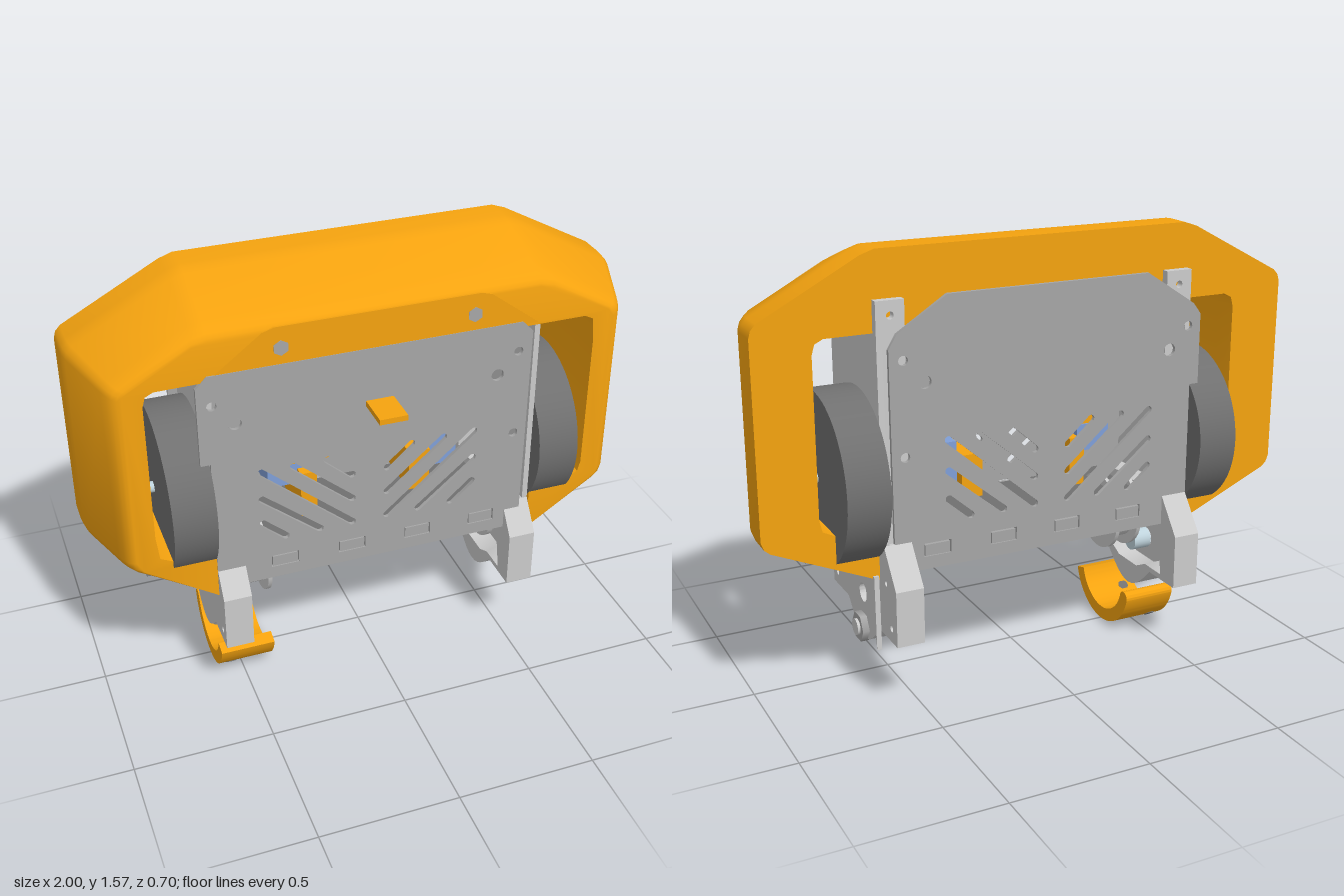
import * as THREE from 'three';
import { toCreasedNormals } from 'three/addons/utils/BufferGeometryUtils.js';

const mat = (color) => new THREE.MeshStandardMaterial({ color, side: THREE.DoubleSide });
const ORANGE = mat(0xf5a30f), LIGHT = mat(0xcccccc), PLATE = mat(0xa6a6a6);
const DARK = mat(0x707070), STEEL = mat(0xbfd3dc), BLUE = mat(0x7f9fd8);

export function createModel() {
  const model = new THREE.Group();
  const add = (name, geo, material, x = 0, y = 0, z = 0) => {
    const mesh = new THREE.Mesh(geo, material);
    mesh.name = name;
    mesh.position.set(x, y, z);
    model.add(mesh);
    return mesh;
  };
  const box = (name, m, x0, x1, y0, y1, z0, z1) =>
    add(name, new THREE.BoxGeometry(x1 - x0, y1 - y0, z1 - z0), m, (x0 + x1) / 2, (y0 + y1) / 2, (z0 + z1) / 2);
  // cylinder lying along x
  const rod = (name, m, x0, x1, y, z, r, sides = 48) => {
    const g = new THREE.CylinderGeometry(r, r, Math.abs(x1 - x0), sides).rotateZ(Math.PI / 2);
    return add(name, g, m, (x0 + x1) / 2, y, z);
  };
  const poly = (pts) => new THREE.Shape(pts.map((p) => new THREE.Vector2(...p)));
  const circle = (x, y, r) => new THREE.Path().absarc(x, y, r, 0, Math.PI * 2, true);
  // side profile given as [z, y], extruded from x0 to x1
  const sidePoly = (pts) => poly(pts.map(([z, y]) => [-z, y]));
  const sideExtrude = (name, m, shape, x0, x1) => {
    const g = new THREE.ExtrudeGeometry(shape, { depth: x1 - x0, bevelEnabled: false, curveSegments: 24 });
    return add(name, toCreasedNormals(g.rotateY(Math.PI / 2), 0.5), m, x0);
  };

  // Shell: open octagonal frame, tapering and rounded towards the front
  const half = [
    [0.595, 0.44], [0.97, 0.605], [0.99, 0.622], [1, 0.65], [1, 1.325], [0.993, 1.35], [0.975, 1.37], [0.63, 1.555], [0.58, 1.572],
  ];
  const inner = [[0.595, 0.62], [0.75, 0.63], [0.79, 0.65], [0.8, 0.69], [0.8, 1.25], [0.79, 1.285], [0.76, 1.3]];
  const flip = (pts) => pts.map(([x, y]) => [-x, y]).reverse();
  const outline = [...half, ...flip(half), ...inner.map(([x, y]) => [-x, y]), ...inner.slice().reverse()];
  const zs = [-0.205, -0.11, -0.08, -0.05, 0.15, 0.18, 0.2, 0.21, 0.213];
  const inset = [0, 0, 0.03, 0.1, 0.8, 0.93, 1.06, 1.2, 1.3];
  const last = zs.length - 1;
  const shellGeo = new THREE.ExtrudeGeometry(poly(outline), { depth: last, steps: last, bevelEnabled: false });
  const pos = shellGeo.attributes.position;
  for (let i = 0; i < pos.count; i++) {
    const k = Math.round(pos.getZ(i)), t = inset[k];
    const x = pos.getX(i), y = pos.getY(i);
    if (Math.abs(x) > 0.81) pos.setX(i, x * (1 - 0.1 * t));
    if (y > 1.31) pos.setY(i, y - t * (0.04 + 0.27 * (y - 1.35)));
    pos.setZ(i, zs[k]);
  }
  add('shell', toCreasedNormals(shellGeo, 0.8), ORANGE);

  // Mounting pad at the top of the shell front
  const pad = poly([[-0.58, 1.31], [0.58, 1.31], [0.4, 1.445], [0.36, 1.457], [-0.36, 1.457], [-0.4, 1.445]]);
  add('mountingPad', new THREE.ExtrudeGeometry(pad, { depth: 0.015, bevelEnabled: false }), ORANGE, 0, 0, 0.2);
  for (const x of [-0.34, 0.34]) {
    add('padBolt', new THREE.CylinderGeometry(0.028, 0.028, 0.006, 6).rotateX(Math.PI / 2), PLATE, x, 1.38, 0.214);
    box('rearSpacer', ORANGE, x - 0.025, x + 0.025, 1.34, 1.39, -0.24, -0.2);
  }

  // Front and rear plates with diagonal vent slots
  const MID = -0.035;
  const slots = [
    [0.39, 0.71, 0.31, 0.64], [0.39, 0.81, 0.185, 0.64], [0.39, 0.92, 0.065, 0.64],
    [0.275, 0.92, 0.065, 0.74], [0.155, 0.92, 0.065, 0.84],
  ];
  const slotHole = (x0, y0, x1, y1, r = 0.013) => {
    const a = Math.atan2(y1 - y0, x1 - x0);
    const p = new THREE.Path();
    p.absarc(x0, y0, r, a + Math.PI / 2, a + Math.PI * 1.5, false);
    p.absarc(x1, y1, r, a - Math.PI / 2, a + Math.PI / 2, false);
    p.closePath();
    return p;
  };
  const tabX = [-0.35, -0.1, 0.15, 0.4];
  const ventPlate = (name, pts, z) => {
    const s = poly(pts);
    for (const side of [-1, 1]) {
      for (const [x0, y0, x1, y1] of slots) s.holes.push(slotHole(MID + side * x0, y0, MID + side * x1, y1));
      s.holes.push(circle(MID + side * 0.545, 1.21, 0.017), circle(MID + side * 0.545, 0.88, 0.017));
      s.holes.push(circle(MID + side * 0.47, 1.13, 0.023));
    }
    for (const x of tabX) {
      s.holes.push(new THREE.Path([[-1, -1], [-1, 1], [1, 1], [1, -1]].map(
        ([u, v]) => new THREE.Vector2(x + u * 0.05, 0.54 + v * 0.024))));
    }
    const g = new THREE.ExtrudeGeometry(s, { depth: 0.014, bevelEnabled: false, curveSegments: 10 });
    add(name, toCreasedNormals(g, 0.5), PLATE, 0, 0, z);
  };
  ventPlate('frontPlate', [
    [-0.595, 0.47], [0.555, 0.47], [0.56, 1.28], [0.52, 1.322], [-0.59, 1.322], [-0.63, 1.28], [-0.63, 0.99], [-0.595, 0.99],
  ], 0.203);
  ventPlate('rearPlate', [
    [-0.595, 0.47], [0.555, 0.47], [0.56, 1.25], [0.53, 1.3], [0.35, 1.415], [-0.41, 1.415], [-0.6, 1.29], [-0.63, 1.25],
    [-0.63, 0.99], [-0.595, 0.99],
  ], -0.251);

  // Floor between the plates, with its tabs in the plate slots
  box('floor', DARK, -0.48, 0.48, 0.535, 0.558, -0.2, 0.2);
  for (const x of tabX) {
    box('rearTab', PLATE, x - 0.046, x + 0.046, 0.518, 0.558, -0.25, -0.2);
    box('frontTab', PLATE, x - 0.046, x + 0.046, 0.518, 0.558, 0.195, 0.215);
  }

  // Pointer tab on the front
  box('pointerTab', ORANGE, -0.05, 0.05, 1.105, 1.125, 0.2, 0.35);

  // Small parts behind the vents
  box('innerBlock', BLUE, -0.36, -0.23, 0.74, 0.84, -0.08, 0.06);
  box('innerBlock', BLUE, 0.25, 0.36, 0.7, 0.85, -0.08, 0.06);
  box('innerHolder', ORANGE, -0.25, -0.19, 0.62, 0.8, -0.1, 0.1);
  box('innerHolder', ORANGE, 0.16, 0.24, 0.64, 0.8, -0.1, 0.1);
  box('innerHolder', ORANGE, -0.3, -0.12, 0.85, 0.91, -0.1, 0.1);

  // Foot outline with a rounded lower lobe around the axle
  const lobe = [];
  for (let i = 0; i <= 12; i++) {
    const u = i / 12;
    lobe.push([0.125 - 0.31 * u, 0.25 - 0.1 * Math.sin(Math.PI * u)]);
  }
  const footBottom = [[0.28, 0.25], ...lobe, [-0.35, 0.25]];
  for (const s of [-1, 1]) {
    const span = (a, b) => (s > 0 ? [a, b] : [-b, -a]);

    // Side frame web, from foot to the top of the bay
    const web = sidePoly([...footBottom, [-0.35, 0.45], [-0.25, 0.58], [-0.235, 1.3], [0.2, 1.3], [0.2, 0.57], [0.28, 0.46]]);
    web.holes.push(circle(0.03, 0.325, 0.035), circle(-0.235, 0.3, 0.012), circle(0.3, 0.3, 0.012), circle(0.26, 0.45, 0.01));
    sideExtrude('sideFrame', LIGHT, web, ...span(0.575, 0.595));

    // Thick rim of the foot around a hollow
    const rim = sidePoly([...footBottom, [-0.35, 0.45], [-0.25, 0.58], [0.2, 0.57], [0.28, 0.46]]);
    rim.holes.push(new THREE.Path([
      [-0.2, 0.27], [-0.16, 0.45], [-0.08, 0.53], [0.14, 0.53], [0.23, 0.45], [0.26, 0.27], [0.15, 0.27], [0.09, 0.24], [-0.04, 0.24], [-0.1, 0.27],
    ].map((p) => new THREE.Vector2(...p))));
    sideExtrude('footRim', LIGHT, rim, ...span(0.495, 0.578));
    rod('footPin', STEEL, s * 0.5, s * 0.57, 0.325, -0.03, 0.04, 24);

    // Rear strap running up behind the shell
    const strap = poly([[-0.05, 0.57], [0.05, 0.57], [0.05, 1.41], [-0.05, 1.41]]);
    strap.holes.push(circle(0, 1.36, 0.013));
    add('rearStrap', new THREE.ExtrudeGeometry(strap, { depth: 0.03, bevelEnabled: false }), LIGHT, s * 0.545, 0, -0.236);

    // Wheel and axle
    rod('wheel', DARK, s * 0.595, s * 0.747, 0.78, -0.033, 0.305, 64);
    rod('wheelAxle', STEEL, s * 0.57, s * 0.802, 0.78, -0.033, 0.02, 20);

    // Thin hanging fin outside the foot
    sideExtrude('fin', LIGHT, sidePoly([[-0.165, 0.46], [-0.215, 0.46], [-0.222, 0.19]]), ...span(0.602, s > 0 ? 0.62 : 0.635));

    // Bolts in the sloping underside of the shell
    for (const z of [-0.1, 0.1]) rod('undersideBolt', PLATE, s * 0.77, s * 0.825, 0.535, z, 0.027, 24);
  }

  // Nut and bolt on the left foot
  rod('lowerNut', PLATE, 0.59, 0.62, 0.197, -0.03, 0.055, 6);
  rod('lowerBolt', LIGHT, 0.55, 0.63, 0.197, -0.03, 0.03, 20);

  // Cross shaft with its grooved pulley
  rod('crossShaft', LIGHT, -0.5, 0.5, 0.515, 0.03, 0.042, 24);
  rod('pulleyHub', LIGHT, -0.49, -0.385, 0.45, 0.02, 0.11);
  for (const x of [-0.49, -0.4]) rod('pulleyFlange', LIGHT, x, x + 0.015, 0.45, 0.02, 0.145);
  rod('shaftCollar', LIGHT, 0.475, 0.495, 0.45, 0.02, 0.125);

  // Curved skid under the right foot
  const skid = new THREE.Shape();
  const a0 = Math.PI * 1.085, a1 = Math.PI * 1.915;
  skid.absarc(0, 0.2, 0.196, a0, a1, false);
  skid.absarc(Math.cos(a1) * 0.1715, 0.2 + Math.sin(a1) * 0.1715, 0.0245, a1, a1 + Math.PI, false);
  skid.absarc(0, 0.2, 0.147, a1, a0, true);
  sideExtrude('skid', ORANGE, skid, -0.595, -0.395);
  for (const s of [-1, 1]) {
    const bolt = add('skidBolt', new THREE.CylinderGeometry(0.02, 0.02, 0.052, 20), DARK, -0.545, 0.059, s * 0.0985);
    bolt.rotation.x = -s * 0.61;
  }
  return model;
}
